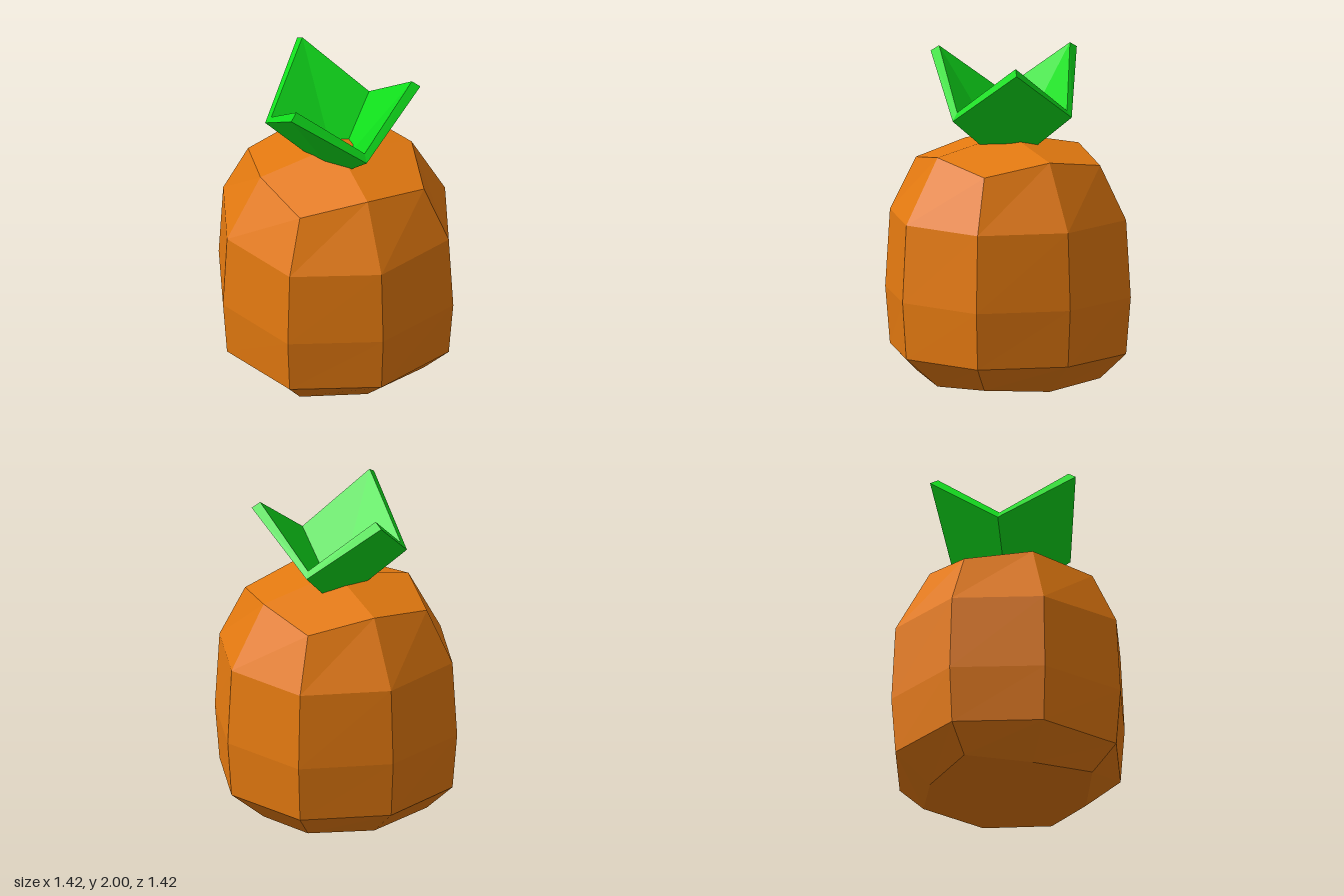
import * as THREE from 'three';

// Joins successive rings of points (a ring may be a single pole point) into a faceted surface.
// Rings run from bottom to top, each counter-clockwise as seen from above.
function loft(rings) {
  const pos = [];
  const tri = (a, b, c) => pos.push(...a, ...b, ...c);
  for (let r = 0; r < rings.length - 1; r++) {
    const lo = rings[r], hi = rings[r + 1];
    const n = Math.max(lo.length, hi.length);
    for (let i = 0; i < n; i++) {
      const j = (i + 1) % n;
      const a = lo[i % lo.length], b = lo[j % lo.length];
      const c = hi[j % hi.length], d = hi[i % hi.length];
      if (lo.length > 1) tri(a, b, c);
      if (hi.length > 1) tri(a, c, d);
    }
  }
  const geometry = new THREE.BufferGeometry();
  geometry.setAttribute('position', new THREE.Float32BufferAttribute(pos, 3));
  geometry.computeVertexNormals();
  return geometry;
}

// Eight points alternating between the axes and the diagonals
function octagon(axis, axisY, diag, diagY) {
  return Array.from({ length: 8 }, (_, i) => {
    const angle = i * Math.PI / 4;
    const odd = i % 2 === 1;
    const radius = odd ? diag * Math.SQRT2 : axis;
    return [Math.cos(angle) * radius, odd ? diagY : axisY, -Math.sin(angle) * radius];
  });
}

export function createModel() {
  const group = new THREE.Group();
  const add = (name, geometry, color) => {
    const material = new THREE.MeshStandardMaterial({ color, flatShading: true });
    const mesh = new THREE.Mesh(geometry, material);
    mesh.name = name;
    group.add(mesh);
  };

  // Barrel-shaped fruit with shallow pointed caps
  add('fruitBody', loft([
    [[0, 0, 0]],
    octagon(0.475, 0.06, 0.39, 0.09),
    octagon(0.685, 0.24, 0.5, 0.24),
    octagon(0.71, 0.575, 0.52, 0.575),
    octagon(0.685, 1.03, 0.5, 1.03),
    octagon(0.475, 1.41, 0.39, 1.345),
    [[0, 1.51, 0]],
  ]), 0xe57a10);

  // Crown of three leaves: tips and valleys alternate, outer skin, rim, then inner skin
  const outer = [
    [0.445, 1.935, 0.205], [0.32, 1.63, -0.24], [-0.04, 1.97, -0.487],
    [-0.37, 1.65, -0.18], [-0.4, 1.96, 0.285], [0.03, 1.62, 0.39],
  ];
  const inner = [
    [0.4, 1.97, 0.185], [0.3, 1.67, -0.22], [-0.03, 2.0, -0.435],
    [-0.34, 1.695, -0.16], [-0.355, 1.995, 0.255], [0.03, 1.67, 0.36],
  ];
  add('leafCrown', loft([[[0, 1.3, 0]], outer, inner, [[0, 1.34, 0]]]), 0x10e01c);

  return group;
}
